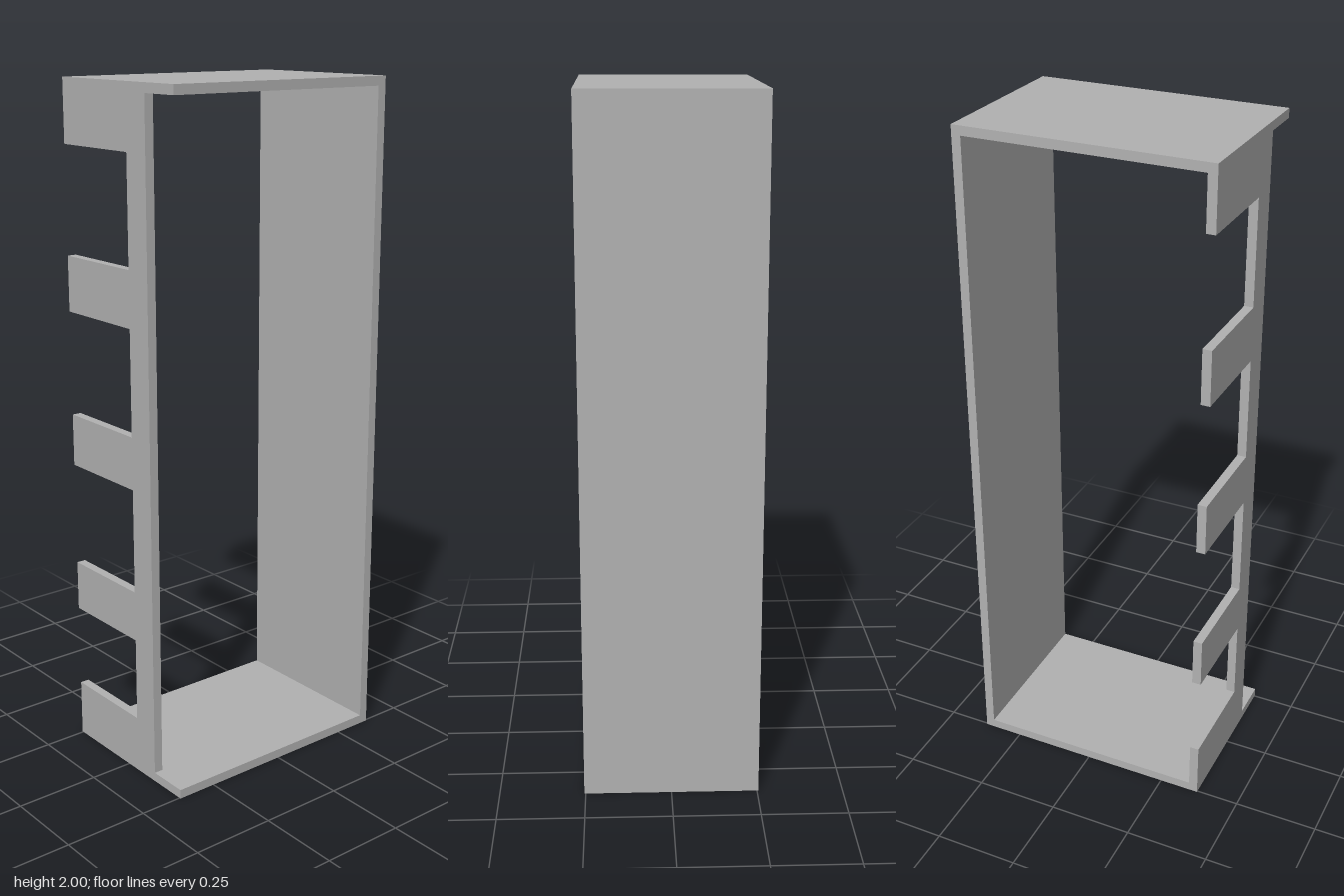
import * as THREE from 'three';

const WIDTH = 0.742, HEIGHT = 2, DEPTH = 0.508, WALL = 0.027;

export function createModel() {
  const group = new THREE.Group();
  const grey = new THREE.MeshStandardMaterial({ color: 0xb2b2b2 });
  grey.name = 'grey';

  const add = (name, geometry, x, y, z) => {
    const mesh = new THREE.Mesh(geometry, grey);
    mesh.name = name;
    mesh.position.set(x, y, z);
    group.add(mesh);
  };

  // Top and bottom plates span the full width
  const plate = new THREE.BoxGeometry(WIDTH, WALL, DEPTH);
  add('topPlate', plate, 0, HEIGHT - WALL / 2, 0);
  add('bottomPlate', plate, 0, WALL / 2, 0);

  // Solid side wall
  const inner = HEIGHT - 2 * WALL;
  add('solidSide', new THREE.BoxGeometry(WALL, inner, DEPTH), (WIDTH - WALL) / 2, HEIGHT / 2, 0);

  // Comb-shaped side: an upright with teeth reaching the back, drawn as (z, y)
  const front = 0.13, root = 0.045, back = -DEPTH / 2;
  const gaps = [[0.17, 0.42], [0.57, 0.88], [1.035, 1.343], [1.505, 1.818]];
  const comb = new THREE.Shape();
  comb.moveTo(front, HEIGHT - WALL);
  comb.lineTo(front, WALL);
  comb.lineTo(back, WALL);
  for (const [low, high] of gaps) {
    comb.lineTo(back, low);
    comb.lineTo(root, low);
    comb.lineTo(root, high);
    comb.lineTo(back, high);
  }
  comb.lineTo(back, HEIGHT - WALL);
  comb.closePath();
  const combGeometry = new THREE.ExtrudeGeometry(comb, { depth: WALL, bevelEnabled: false });
  combGeometry.rotateY(-Math.PI / 2);
  add('combSide', combGeometry, -WIDTH / 2 + WALL, 0, 0);

  return group;
}
